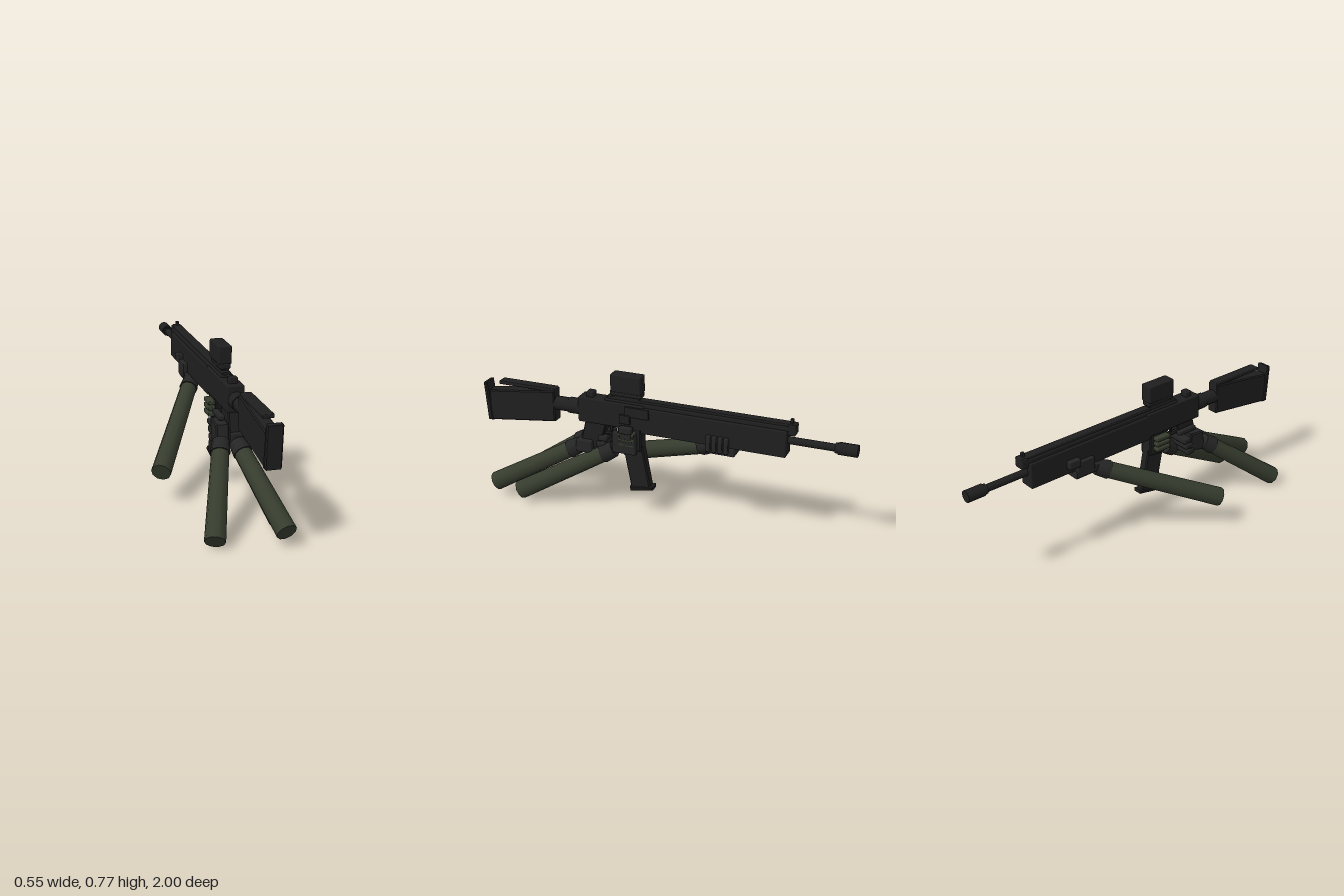
import * as THREE from 'three';
import { RoundedBoxGeometry } from 'three/addons/geometries/RoundedBoxGeometry.js';

const gunMetal = new THREE.MeshStandardMaterial({ color: 0x1f1f1f });
gunMetal.name = 'gunMetal';
const glove = new THREE.MeshStandardMaterial({ color: 0x252525 });
glove.name = 'gloveBlack';
const sleeve = new THREE.MeshStandardMaterial({ color: 0x363c2e });
sleeve.name = 'sleeveOlive';

const CX = 0.11; // centre line of the rifle

export function createModel() {
  const model = new THREE.Group();
  model.name = 'rifleWithArms';
  const rifle = new THREE.Group();
  rifle.name = 'rifle';
  model.add(rifle);

  function add(parent, name, geometry, material) {
    const mesh = new THREE.Mesh(geometry, material);
    mesh.name = name;
    parent.add(mesh);
    return mesh;
  }
  // Bevelled block given by its limits
  function block(parent, name, material, [x0, x1], [y0, y1], [z0, z1]) {
    const size = [x1 - x0, y1 - y0, z1 - z0];
    const bevel = Math.min(0.007, Math.min(...size) * 0.25);
    const mesh = add(parent, name, new RoundedBoxGeometry(...size, 1, bevel), material);
    mesh.position.set((x0 + x1) / 2, (y0 + y1) / 2, (z0 + z1) / 2);
  }
  // Side outline in (z, y), given a width across x
  function slab(parent, name, material, outline, width, x = CX) {
    const bevel = Math.min(0.006, width * 0.2);
    const shape = new THREE.Shape(outline.map(([z, y]) => new THREE.Vector2(z, y)));
    const g = new THREE.ExtrudeGeometry(shape, {
      depth: width - 2 * bevel, bevelThickness: bevel, bevelSize: bevel,
      bevelOffset: -bevel, bevelSegments: 1,
    });
    g.translate(0, 0, bevel - width / 2).rotateY(-Math.PI / 2).translate(x, 0, 0);
    add(parent, name, g, material);
  }
  // Tapered cylinder between two points
  function limb(parent, name, material, from, to, r0, r1, sides = 10) {
    const a = new THREE.Vector3(...from), b = new THREE.Vector3(...to);
    const d = b.clone().sub(a);
    const mesh = add(parent, name, new THREE.CylinderGeometry(r1, r0, d.length(), sides), material);
    mesh.position.copy(a).addScaledVector(d, 0.5);
    mesh.quaternion.setFromUnitVectors(new THREE.Vector3(0, 1, 0), d.normalize());
  }
  const across = (w) => [CX - w / 2, CX + w / 2];
  const barrelPart = (name, z0, z1, r) =>
    limb(rifle, name, gunMetal, [CX, 0.565, z0], [CX, 0.565, z1], r, r, 12);

  // Stock
  slab(rifle, 'stock', gunMetal, [[0.97, 0.59], [0.585, 0.64], [0.585, 0.47], [0.97, 0.42]], 0.07);
  slab(rifle, 'buttPlate', gunMetal, [[1, 0.63], [0.98, 0.635], [0.955, 0.42], [0.985, 0.42]], 0.08);
  block(rifle, 'cheekRest', gunMetal, across(0.055), [0.63, 0.65], [0.585, 0.91]);
  barrelPart('bufferTube', 0.6, 0.43, 0.037);
  barrelPart('bufferCollar', 0.51, 0.44, 0.042);

  // Receiver and forend
  block(rifle, 'receiver', gunMetal, across(0.086), [0.5, 0.635], [0.08, 0.445]);
  block(rifle, 'forend', gunMetal, across(0.086), [0.485, 0.625], [-0.66, 0.1]);
  block(rifle, 'upperRib', gunMetal, across(0.062), [0.62, 0.645], [-0.695, 0.3]);
  block(rifle, 'topRail', gunMetal, across(0.046), [0.64, 0.658], [-0.7, 0.29]);
  block(rifle, 'frontBlock', gunMetal, across(0.06), [0.6, 0.655], [-0.7, -0.66]);
  block(rifle, 'ejectionPort', gunMetal, [0.15, 0.162], [0.57, 0.625], [0.05, 0.18]);
  block(rifle, 'sideLever', gunMetal, [0.15, 0.166], [0.53, 0.58], [0.15, 0.21]);
  block(rifle, 'frontSight', gunMetal, across(0.02), [0.65, 0.68], [-0.682, -0.665]);
  block(rifle, 'rearSight', gunMetal, across(0.046), [0.63, 0.665], [0.365, 0.405]);

  // Barrel
  barrelPart('barrel', -0.65, -0.93, 0.019);
  barrelPart('muzzleCollar', -0.89, -0.91, 0.026);
  barrelPart('muzzleDevice', -0.905, -1, 0.031);

  // Optic
  block(rifle, 'opticBase', gunMetal, across(0.044), [0.64, 0.67], [0.11, 0.26]);
  block(rifle, 'opticMount', gunMetal, across(0.054), [0.665, 0.695], [0.1, 0.27]);
  block(rifle, 'optic', gunMetal, across(0.068), [0.688, 0.782], [0.1, 0.265]);

  // Grip, trigger and magazine
  slab(rifle, 'pistolGrip', gunMetal, [[0.41, 0.51], [0.29, 0.51], [0.35, 0.31], [0.45, 0.35]], 0.06);
  slab(rifle, 'triggerGuard', gunMetal, [[0.32, 0.45], [0.22, 0.45], [0.22, 0.435], [0.32, 0.435]], 0.03);
  slab(rifle, 'trigger', gunMetal, [[0.28, 0.51], [0.26, 0.51], [0.27, 0.45], [0.285, 0.45]], 0.015);
  slab(rifle, 'magazineWell', gunMetal, [[0.235, 0.51], [0.1, 0.51], [0.1, 0.38], [0.205, 0.37]], 0.07);
  slab(rifle, 'magazine', gunMetal, [[0.21, 0.42], [0.1, 0.42], [0.055, 0.175], [0.16, 0.155]], 0.05);
  slab(rifle, 'magazineFoot', gunMetal, [[0.17, 0.165], [0.04, 0.185], [0.04, 0.165], [0.165, 0.14]], 0.058);

  // Forearms: open sleeve end, wrist end
  const arms = [
    ['foreHandArm', [-0.232, 0.182, 0.325], [0.055, 0.435, -0.215]],
    ['gripHandArm', [-0.115, 0.048, 0.865], [0.02, 0.335, 0.49]],
    ['rearHandArm', [0.203, 0.085, 0.93], [0.125, 0.325, 0.5]],
    ['magazineHandArm', [0.224, 0.073, 0.77], [0.14, 0.34, 0.3]],
  ];
  for (const [name, end, wrist] of arms) {
    const arm = new THREE.Group();
    arm.name = name;
    model.add(arm);
    limb(arm, 'sleeve', sleeve, end, wrist, 0.05, 0.043);
    const w = new THREE.Vector3(...wrist);
    const dir = w.clone().sub(new THREE.Vector3(...end)).normalize();
    const p = w.clone().addScaledVector(dir, -0.015).toArray();
    const q = w.clone().addScaledVector(dir, 0.055).toArray();
    limb(arm, 'gloveCuff', glove, p, q, 0.049, 0.042);
  }

  // Hand under the forend
  const foreHand = new THREE.Group();
  foreHand.name = 'foreHand';
  model.add(foreHand);
  block(foreHand, 'palm', glove, [0.05, 0.16], [0.445, 0.49], [-0.405, -0.25]);
  block(foreHand, 'thumb', glove, [0.037, 0.07], [0.52, 0.565], [-0.45, -0.38]);
  block(foreHand, 'thumbBase', glove, [0.045, 0.07], [0.455, 0.54], [-0.4, -0.29]);
  for (let i = 0; i < 4; i++) {
    const z = -0.375 + i * 0.031;
    block(foreHand, 'finger', glove, [0.15, 0.178], [0.46, 0.545], [z, z + 0.025]);
  }

  // Hand on the pistol grip
  const gripHand = new THREE.Group();
  gripHand.name = 'gripHand';
  model.add(gripHand);
  slab(gripHand, 'palm', glove, [[0.43, 0.44], [0.34, 0.45], [0.34, 0.35], [0.45, 0.32]], 0.065, 0.048);
  for (let i = 0; i < 3; i++) {
    const y = 0.42 - i * 0.036;
    block(gripHand, 'finger', glove, [0.01, 0.15], [y - 0.015, y + 0.015], [0.29 + i * 0.012, 0.34 + i * 0.012]);
  }
  block(gripHand, 'triggerFinger', glove, [0.04, 0.07], [0.45, 0.475], [0.28, 0.4]);
  block(gripHand, 'heel', glove, [0.085, 0.165], [0.33, 0.4], [0.37, 0.46]);

  // Hand around the magazine well
  const magazineHand = new THREE.Group();
  magazineHand.name = 'magazineHand';
  model.add(magazineHand);
  block(magazineHand, 'palm', glove, [0.14, 0.172], [0.365, 0.48], [0.12, 0.25]);
  block(magazineHand, 'thumb', glove, [0.165, 0.2], [0.49, 0.526], [0.13, 0.2]);
  block(magazineHand, 'thumbBase', glove, [0.145, 0.182], [0.45, 0.505], [0.14, 0.205]);
  for (let i = 0; i < 3; i++) {
    const y = 0.478 - i * 0.03;
    block(magazineHand, 'wrapBand', sleeve, [0.04, 0.178 - i * 0.003], [y - 0.011, y + 0.011], [0.125, 0.215]);
  }

  return model;
}
